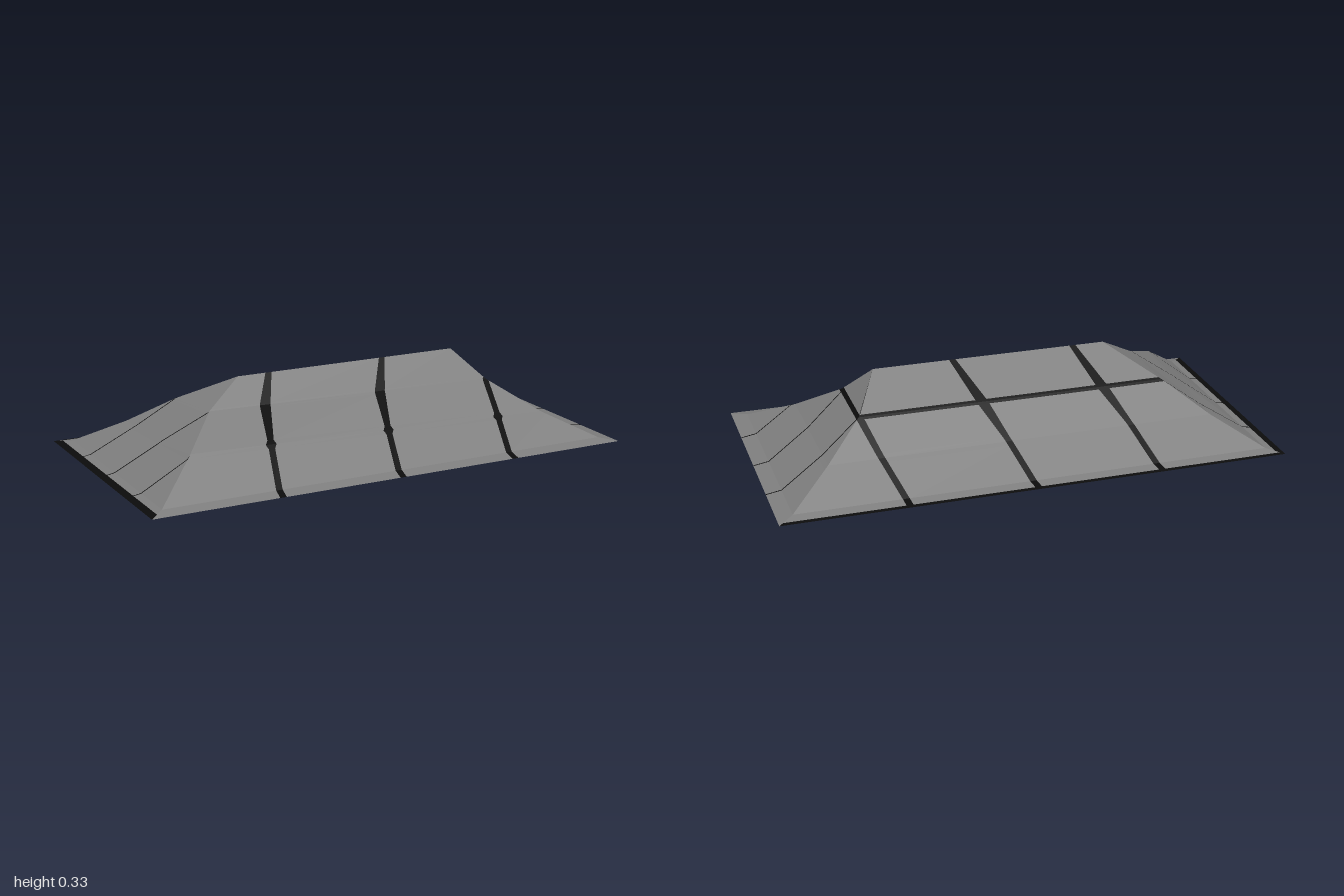
import * as THREE from 'three';

// Corner rings from eave to ridge: front-left, front-right, back-right, back-left as seen on plan
const RINGS = [
  [[-1, 0, 0.525], [1, 0, 0.525], [1, 0, -0.525], [-1, 0, -0.525]],
  [[-0.94, 0.01, 0.47], [0.94, 0.01, 0.47], [0.94, 0.01, -0.47], [-0.94, 0.01, -0.47]],
  [[-0.76, 0.143, 0.31], [0.77, 0.1, 0.31], [0.77, 0.11, -0.31], [-0.77, 0.11, -0.31]],
  [[-0.6, 0.235, 0.12], [0.61, 0.217, 0.14], [0.615, 0.22, -0.16], [-0.62, 0.22, -0.16]],
  [[-0.44, 0.33, 0.03], [0.51, 0.33, 0.03], [0.51, 0.33, 0.03], [-0.44, 0.33, 0.03]],
].map((ring) => ring.map((p) => new THREE.Vector3(...p)));

// Seam positions at each ring: along x on the long slopes, along z on the hip ends
const LONG_SEAMS = [[-0.49, 0.01, 0.51], [-0.48, 0.02, 0.515], [-0.435, 0.065, 0.565], [-0.37, 0.125, 0.62], [-0.31, 0.19, 0.8]];
const END_SEAMS = [[-0.26, 0, 0.27], [-0.26, 0, 0.27], [-0.21, 0.06, 0.33], [-0.16, 0.125, 0.5], [-0.5, 0.5, 0.5]];

// Row heights, measured in rings; bands are the rows that are wholly dark
const ROWS = [0, 0.27, 0.5, 1, 1.9, 2, 2.1, 2.94, 3, 3.05, 4];
const SIDES = [
  { name: 'frontSlope', a: 0, b: 1, axis: 'x', seams: LONG_SEAMS, half: 0.013, knots: [2, 3], bands: [] },
  { name: 'rightHipEnd', a: 1, b: 2, axis: 'z', seams: END_SEAMS, half: 0.003, knots: [], bands: [[2.94, 3.05]] },
  { name: 'backSlope', a: 2, b: 3, axis: 'x', seams: LONG_SEAMS, half: 0.013, knots: [3], bands: [[0, 0.27], [2.94, 3.05]] },
  { name: 'leftHipEnd', a: 3, b: 0, axis: 'z', seams: END_SEAMS, half: 0.003, knots: [], bands: [[0, 0.5]] },
];

// Points across one row of a side: both corners and the two edges of each seam
function rowPoints(side, t) {
  const i = Math.min(Math.floor(t), 3);
  const f = t - i;
  const start = RINGS[i][side.a].clone().lerp(RINGS[i + 1][side.a], f);
  const end = RINGS[i][side.b].clone().lerp(RINGS[i + 1][side.b], f);
  const half = side.knots.some((k) => Math.abs(k - t) < 0.07) ? 0.022 : side.half;
  const span = end[side.axis] - start[side.axis];
  const cuts = [0, 1];
  for (let s = 0; s < 3; s++) {
    const centre = THREE.MathUtils.lerp(side.seams[i][s], side.seams[i + 1][s], f);
    for (const d of [-half, half]) {
      const u = Math.abs(span) < 1e-6 ? 0 : (centre + d - start[side.axis]) / span;
      cuts.push(THREE.MathUtils.clamp(u, 0, 1));
    }
  }
  return cuts.sort((p, q) => p - q).map((u) => start.clone().lerp(end, u));
}

function meshFrom(points, material, name) {
  const geometry = new THREE.BufferGeometry().setFromPoints(points);
  geometry.computeVertexNormals();
  const mesh = new THREE.Mesh(geometry, material);
  mesh.name = name;
  return mesh;
}

export function createModel() {
  const model = new THREE.Group();
  model.name = 'hippedRoof';
  const roofGrey = new THREE.MeshStandardMaterial({ color: 0x808080, side: THREE.DoubleSide });
  roofGrey.name = 'roofGrey';
  const seamBlack = new THREE.MeshStandardMaterial({ color: 0x0c0c0c, side: THREE.DoubleSide });
  seamBlack.name = 'seamBlack';

  for (const side of SIDES) {
    const panels = [];
    const seams = [];
    for (let r = 0; r < ROWS.length - 1; r++) {
      const low = rowPoints(side, ROWS[r]);
      const high = rowPoints(side, ROWS[r + 1]);
      const band = side.bands.some(([from, to]) => ROWS[r] >= from && ROWS[r + 1] <= to);
      // Odd columns lie between the two edges of a seam
      for (let c = 0; c < low.length - 1; c++) {
        const target = band || c % 2 === 1 ? seams : panels;
        const quad = [low[c], low[c + 1], high[c + 1], high[c]];
        for (const tri of [[0, 1, 2], [0, 2, 3]]) {
          const [p, q, s] = tri.map((k) => quad[k]);
          const area = q.clone().sub(p).cross(s.clone().sub(p)).length();
          if (area > 1e-8) target.push(p, q, s);
        }
      }
    }
    const group = new THREE.Group();
    group.name = side.name;
    group.add(meshFrom(panels, roofGrey, side.name + 'Panels'), meshFrom(seams, seamBlack, side.name + 'Seams'));
    model.add(group);
  }
  return model;
}
